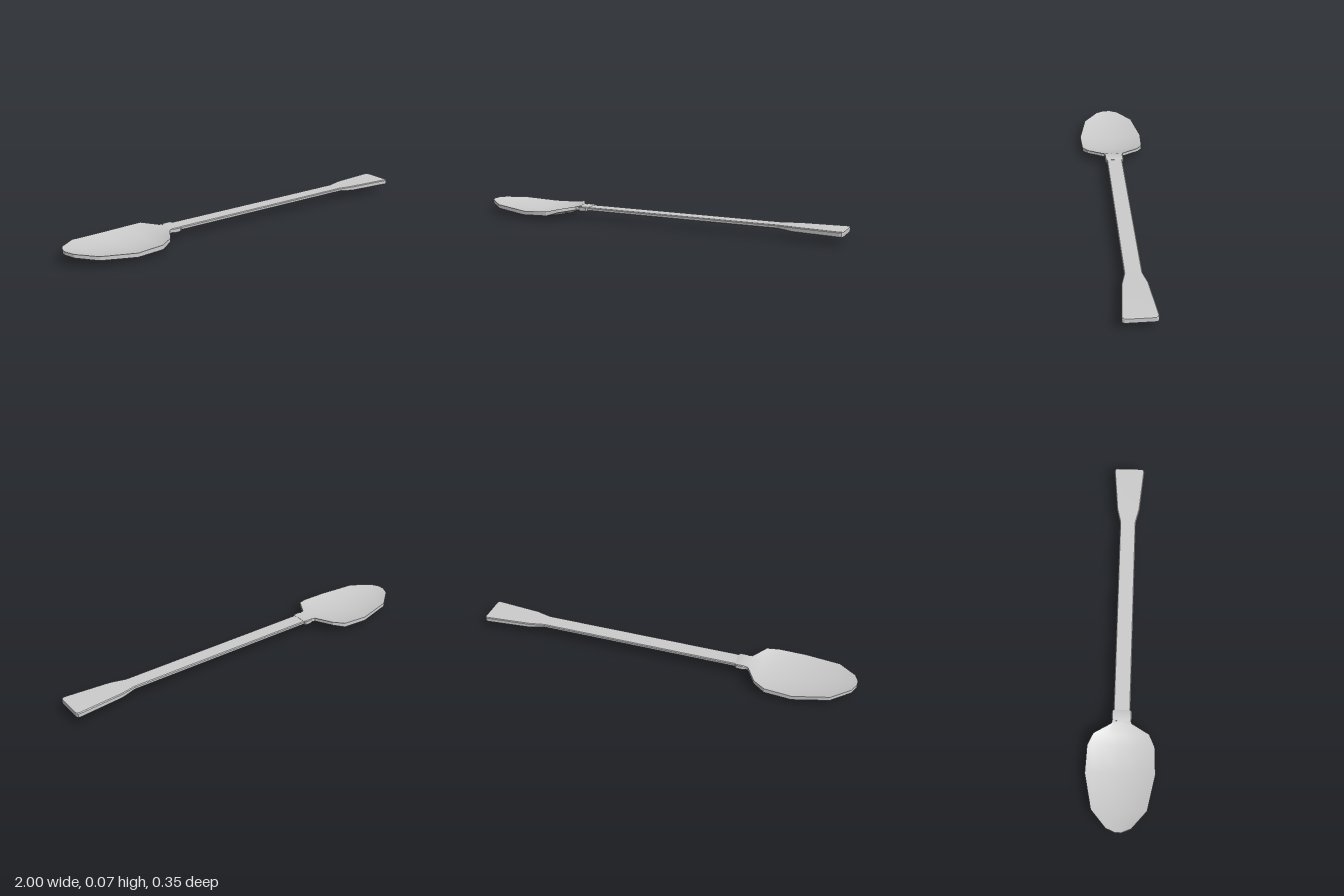
import * as THREE from 'three';
import { toCreasedNormals } from 'three/addons/utils/BufferGeometryUtils.js';

// Skin a row of closed rings of [z, y] points placed along x, with both ends capped.
function loft(name, stations, ringAt, crease) {
  const rings = stations.map((s) => ringAt(s).map(([z, y]) => [s[0], y, z]));
  const n = rings[0].length;
  const index = [];
  for (let i = 0; i < rings.length - 1; i++) {
    for (let j = 0; j < n; j++) {
      const a = i * n + j, b = i * n + (j + 1) % n;
      index.push(a, a + n, b + n, a, b + n, b);
    }
  }
  const last = (rings.length - 1) * n;
  for (let j = 1; j < n - 1; j++) {
    index.push(0, j, j + 1, last, last + j + 1, last + j);
  }
  const geometry = new THREE.BufferGeometry();
  geometry.setAttribute('position', new THREE.Float32BufferAttribute(rings.flat(2), 3));
  geometry.setIndex(index);
  const mesh = new THREE.Mesh(
    toCreasedNormals(geometry, crease),
    new THREE.MeshStandardMaterial({ color: 0xcccccc })
  );
  mesh.name = name;
  return mesh;
}

// Bar section with small chamfers: station is [x, halfWidth, bottom, top].
function barRing([, w, bottom, top]) {
  const c = 0.004;
  return [
    [w, bottom + c], [w, top - c], [w - c, top], [c - w, top],
    [-w, top - c], [-w, bottom + c], [c - w, bottom], [w - c, bottom],
  ];
}

// Bowl section: dished top, upright rim and a shallow V keel.
// Station is [x, halfWidth, rimTop, rimBottom, keel, dishFloor].
function bowlRing([, w, top, low, keel, floor]) {
  const ring = [[0, keel], [w, low]];
  for (const t of [1, 0.85, 0.5, 0, -0.5, -0.85, -1]) {
    ring.push([w * t, floor + (top - floor) * t * t]);
  }
  ring.push([-w, low]);
  return ring;
}

export function createModel() {
  const group = new THREE.Group();
  group.name = 'spoon';

  // Bowl, from the tip to the neck
  group.add(loft('bowl', [
    [-1.0, 0.016, 0.071, 0.054, 0.052, 0.07],
    [-0.98, 0.062, 0.069, 0.051, 0.045, 0.064],
    [-0.89, 0.138, 0.061, 0.041, 0.022, 0.045],
    [-0.71, 0.175, 0.048, 0.027, 0.002, 0.026],
    [-0.57, 0.169, 0.054, 0.031, 0.01, 0.033],
    [-0.51, 0.14, 0.067, 0.049, 0.024, 0.046],
    [-0.457, 0.05, 0.07, 0.052, 0.044, 0.068],
    [-0.43, 0.045, 0.07, 0.052, 0.05, 0.07],
  ], bowlRing, 0.4));

  // Collar between bowl and handle
  group.add(loft('collar', [
    [-0.445, 0.046, 0.048, 0.07],
    [-0.43, 0.051, 0.046, 0.072],
    [-0.395, 0.051, 0.046, 0.072],
    [-0.388, 0.046, 0.05, 0.07],
  ], barRing, 0.3));

  // Long flat handle
  group.add(loft('handle', [
    [-0.4, 0.043, 0.051, 0.069],
    [0.67, 0.043, 0.051, 0.069],
  ], barRing, 0.3));

  // Flared flat end of the handle
  group.add(loft('flaredEnd', [
    [0.67, 0.043, 0.051, 0.069],
    [0.75, 0.062, 0.045, 0.071],
    [0.985, 0.083, 0.044, 0.071],
    [0.995, 0.08, 0.044, 0.071],
    [1.0, 0.071, 0.046, 0.069],
  ], barRing, 0.3));

  return group;
}
